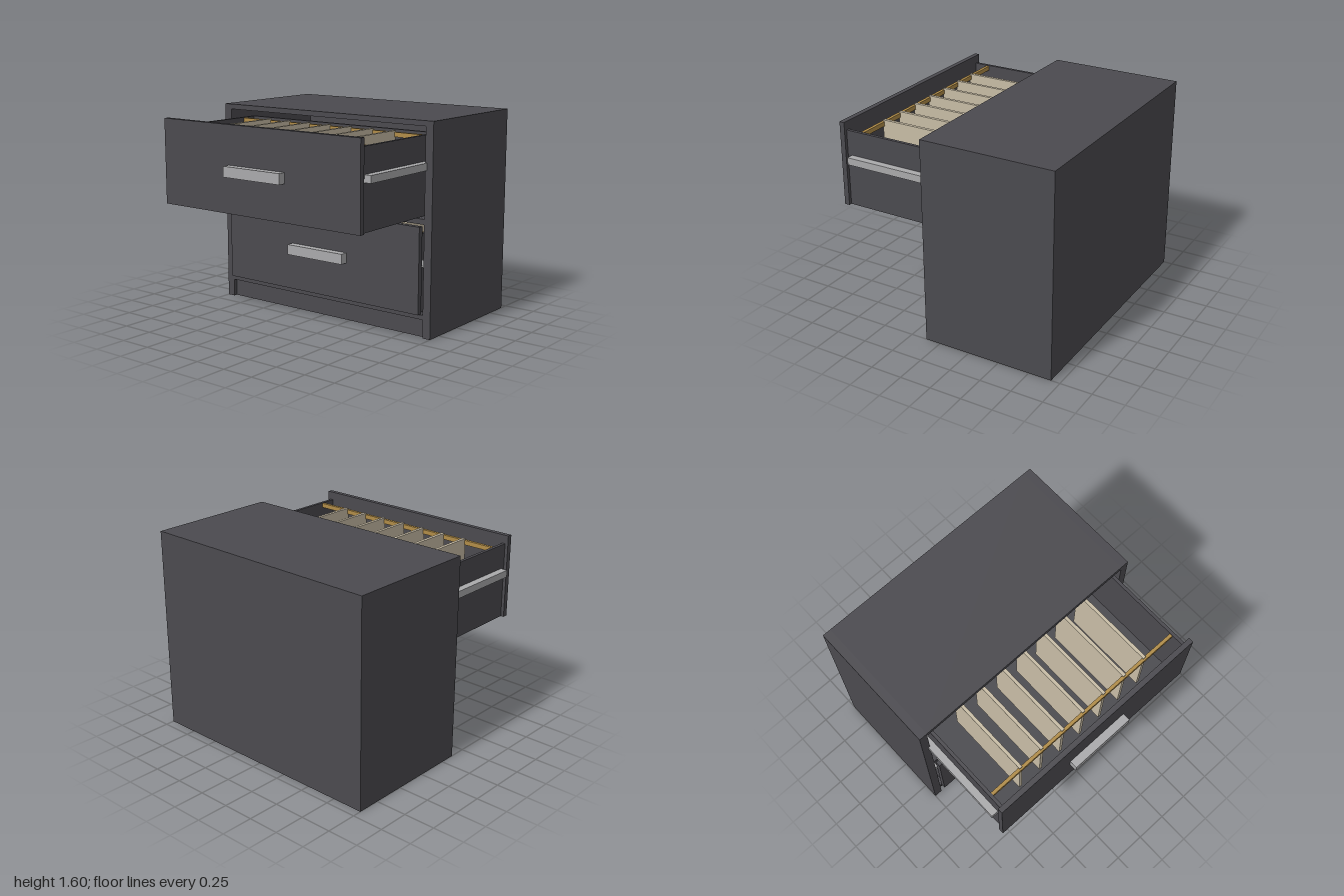
import * as THREE from 'three';

const charcoal = new THREE.MeshStandardMaterial({ name: 'charcoal', color: 0x4b4a4f });
const metal = new THREE.MeshStandardMaterial({ name: 'brushedMetal', color: 0xaaaaac });
const brass = new THREE.MeshStandardMaterial({ name: 'brass', color: 0xb08c48 });
const folder = new THREE.MeshStandardMaterial({ name: 'folderBeige', color: 0xc8bda6 });

// Box given by its limits on each axis
function box(parent, name, material, [x0, x1], [y0, y1], [z0, z1]) {
  const mesh = new THREE.Mesh(new THREE.BoxGeometry(x1 - x0, y1 - y0, z1 - z0), material);
  mesh.position.set((x0 + x1) / 2, (y0 + y1) / 2, (z0 + z1) / 2);
  mesh.name = name;
  parent.add(mesh);
  return mesh;
}

// Same box on the left and the right
function pair(parent, name, material, [x0, x1], y, z) {
  box(parent, name + 'Left', material, [x0, x1], y, z);
  box(parent, name + 'Right', material, [-x1, -x0], y, z);
}

function createCabinet() {
  const g = new THREE.Group();
  g.name = 'cabinet';
  const inner = [-0.935, 0.935];
  pair(g, 'sidePanel', charcoal, [0.935, 1], [0, 1.6], [-0.93, 0.12]);
  box(g, 'topPanel', charcoal, inner, [1.56, 1.6], [-0.93, 0.12]);
  box(g, 'middleRail', charcoal, inner, [0.85, 0.89], [-0.89, 0.12]);
  box(g, 'bottomRail', charcoal, inner, [0.14, 0.175], [-0.89, 0.12]);
  box(g, 'plinth', charcoal, inner, [0, 0.14], [-0.89, 0.09]);
  box(g, 'backPanel', charcoal, inner, [0, 1.56], [-0.93, -0.89]);
  return g;
}

// Drawer with its front face at z = 0 and its bottom at y = 0
function createDrawer(name, handleY, slideY) {
  const g = new THREE.Group();
  g.name = name;
  const back = -0.98;
  box(g, 'drawerFront', charcoal, [-0.92, 0.92], [0, 0.655], [-0.04, 0]);
  pair(g, 'drawerSide', charcoal, [0.87, 0.895], [0, 0.59], [back, -0.04]);
  box(g, 'drawerBack', charcoal, [-0.87, 0.87], [0, 0.59], [back, back + 0.03]);
  box(g, 'drawerBottom', charcoal, [-0.87, 0.87], [0, 0.03], [back + 0.03, -0.04]);
  box(g, 'handle', metal, [-0.265, 0.265], [handleY, handleY + 0.08], [0, 0.062]);
  pair(g, 'slide', metal, [0.895, 0.95], [slideY, slideY + 0.055], [back, -0.075]);

  // Hanging rails and file dividers
  box(g, 'frontHangingRail', brass, [-0.87, 0.87], [0.55, 0.585], [-0.17, -0.145]);
  box(g, 'backHangingRail', brass, [-0.87, 0.87], [0.55, 0.585], [-0.855, -0.83]);
  for (let i = -3; i <= 3; i++) {
    const x = i * 0.2;
    box(g, 'fileDivider', folder, [x - 0.0125, x + 0.0125], [0.08, 0.597], [-0.845, -0.158]);
  }
  return g;
}

export function createModel() {
  const model = new THREE.Group();
  model.name = 'filingCabinet';
  model.add(createCabinet());

  const upper = createDrawer('openUpperDrawer', 0.28, 0.345);
  upper.position.set(0, 0.9, 0.87);
  const lower = createDrawer('closedLowerDrawer', 0.29, 0.34);
  lower.position.set(0, 0.182, 0.16);
  model.add(upper, lower);
  return model;
}
